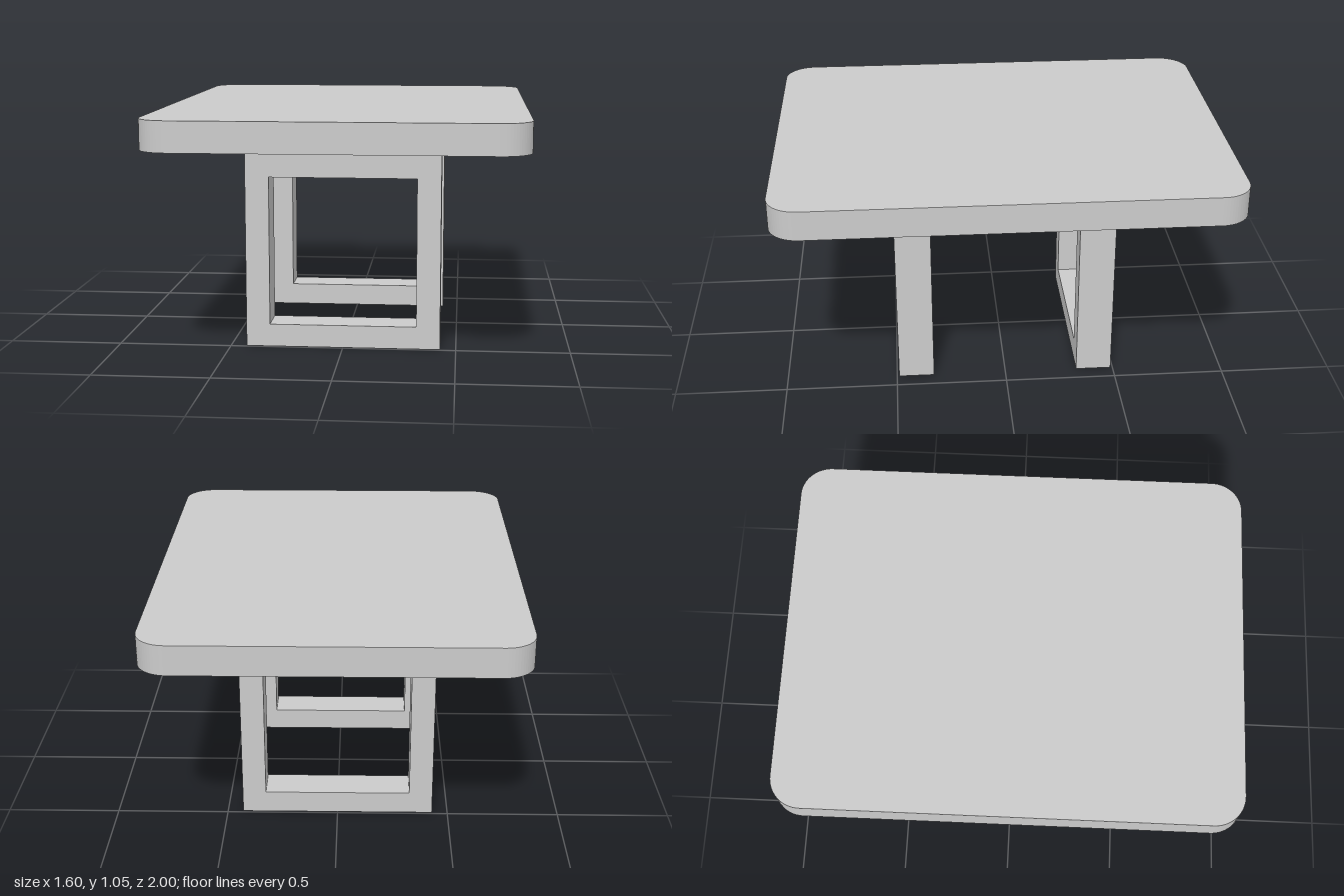
import * as THREE from 'three';

const material = new THREE.MeshStandardMaterial({ color: 0xcccccc });

// Rectangle outline given by its half width and its lower and upper edge
function rectangle(target, halfW, low, high) {
  target.moveTo(-halfW, low);
  target.lineTo(halfW, low);
  target.lineTo(halfW, high);
  target.lineTo(-halfW, high);
  target.closePath();
  return target;
}

// Rectangle with rounded corners, centred on the origin
function roundedRectangle(w, h, r) {
  const s = new THREE.Shape();
  const x = w / 2 - r, y = h / 2 - r;
  s.absarc(x, y, r, 0, Math.PI / 2);
  s.absarc(-x, y, r, Math.PI / 2, Math.PI);
  s.absarc(-x, -y, r, Math.PI, Math.PI * 1.5);
  s.absarc(x, -y, r, Math.PI * 1.5, Math.PI * 2);
  s.closePath();
  return s;
}

export function createModel() {
  const group = new THREE.Group();
  group.name = 'table';
  const add = (name, geometry, y = 0, z = 0) => {
    const mesh = new THREE.Mesh(geometry, material);
    mesh.name = name;
    mesh.position.set(0, y, z);
    group.add(mesh);
  };

  const topY = 0.925, topThickness = 0.13;
  const openingTop = 0.76, openingHalf = 0.325;
  const frameInner = 0.33, frameDepth = 0.16;

  // Table top, a slab with rounded corners
  const slab = new THREE.ExtrudeGeometry(roundedRectangle(1.6, 2, 0.135), {
    depth: topThickness, bevelEnabled: false, curveSegments: 8,
  });
  slab.rotateX(-Math.PI / 2);
  add('tableTop', slab, topY);

  // Two square leg frames with an open middle
  const outline = rectangle(new THREE.Shape(), 0.43, 0, topY);
  outline.holes.push(rectangle(new THREE.Path(), openingHalf, 0.1, openingTop));
  const frame = new THREE.ExtrudeGeometry(outline, { depth: frameDepth, bevelEnabled: false });
  add('frontLegFrame', frame, 0, frameInner);
  add('backLegFrame', frame, 0, -frameInner - frameDepth);

  // Solid beam joining the frames under the top
  const beamHeight = topY - openingTop;
  add('connectingBeam', new THREE.BoxGeometry(openingHalf * 2, beamHeight, frameInner * 2),
    openingTop + beamHeight / 2);

  return group;
}
